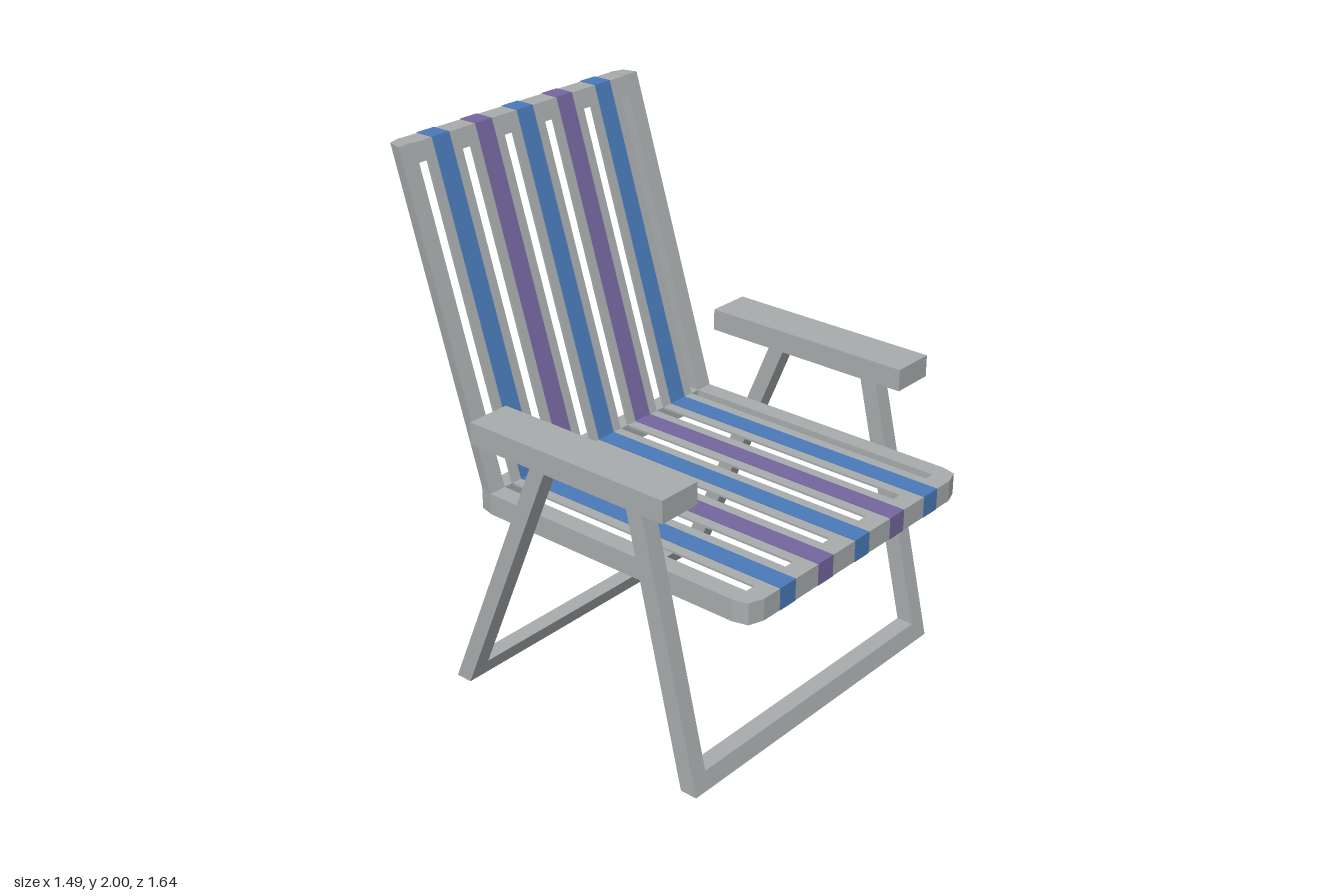
import * as THREE from 'three';

const grey = new THREE.MeshStandardMaterial({ name: 'greyPlastic', color: 0xa8acad });
const blue = new THREE.MeshStandardMaterial({ name: 'blueStripe', color: 0x4a7ab8 });
const purple = new THREE.MeshStandardMaterial({ name: 'purpleStripe', color: 0x75669f });

const SEAT_TOP = 0.788;
const BACK_LEAN = -0.31; // change in z per unit of height

// Slide every vertex along z in proportion to its height above y0
function lean(geo, slope, y0) {
  const p = geo.attributes.position;
  for (let i = 0; i < p.count; i++) p.setZ(i, p.getZ(i) + (p.getY(i) - y0) * slope);
  geo.computeVertexNormals();
  return geo;
}

// Box given by its limits
function box([x0, x1], [y0, y1], [z0, z1]) {
  return new THREE.BoxGeometry(x1 - x0, y1 - y0, z1 - z0)
    .translate((x0 + x1) / 2, (y0 + y1) / 2, (z0 + z1) / 2);
}

// Outline in plan (x, z), raised from y0 to y1
function plan(shape, y0, y1) {
  return new THREE.ExtrudeGeometry(shape, { depth: y1 - y0, bevelEnabled: false })
    .rotateX(Math.PI / 2).translate(0, y1, 0);
}

const outline = (pts) => new THREE.Shape(pts.map(([x, y]) => new THREE.Vector2(x, y)));
const mirrored = (half) => [...half, ...half.map(([x, y]) => [-x, y]).reverse()];

export function createModel() {
  const group = new THREE.Group();
  const add = (name, geo, mat = grey) => {
    const mesh = new THREE.Mesh(geo, mat);
    mesh.name = name;
    group.add(mesh);
  };
  const backPart = (geo) => lean(geo, BACK_LEAN, 0.79);

  // Seat frame with cut corners
  const seat = outline(mirrored([
    [0.54, -0.445], [0.597, -0.428], [0.612, -0.37],
    [0.612, 0.745], [0.597, 0.8], [0.54, 0.82],
  ]));
  seat.holes.push(new THREE.Path(mirrored([[0.54, -0.37], [0.54, 0.745]])
    .map(([x, y]) => new THREE.Vector2(x, y))));
  add('seatFrame', plan(seat, 0.705, SEAT_TOP));

  // Backrest side rails, with rear corners cut like the seat
  for (const s of [1, -1]) {
    const rail = outline([[0.54, -0.371], [0.612, -0.371], [0.597, -0.428], [0.54, -0.445]]
      .map(([x, z]) => [x * s, z]));
    add(s > 0 ? 'backRailLeft' : 'backRailRight', backPart(plan(rail, SEAT_TOP, 2)));
  }
  add('backTopRail', backPart(box([-0.54, 0.54], [1.93, 1.998], [-0.445, -0.371])));

  // Slats with a coloured stripe running over the rails
  for (let i = -2; i <= 2; i++) {
    const x = i * 0.208;
    const wide = [x - 0.083, x + 0.083];
    const narrow = [x - 0.041, x + 0.041];
    const color = i % 2 ? purple : blue;

    add('seatSlat', box(wide, [0.78, SEAT_TOP], [-0.371, 0.746]));
    add('seatStripe', box(narrow, [0.778, 0.79], [-0.37, 0.822]), color);
    add('seatFrontStripe', box(narrow, [0.705, 0.789], [0.816, 0.822]), color);

    add('backSlat', backPart(box(wide, [SEAT_TOP, 1.931], [-0.38, -0.371])));
    add('backStripe', backPart(box(narrow, [SEAT_TOP, 2], [-0.382, -0.369])), color);
    add('backTopStripe', backPart(box(narrow, [1.994, 2], [-0.446, -0.37])), color);
    add('backRearStripe', backPart(box(narrow, [1.93, 2], [-0.447, -0.441])), color);
  }

  // U-shaped leg frames leaning towards each other at the armrests
  const legShape = outline(mirrored([[0.69, 0], [0.69, 1.06], [0.622, 1.06], [0.622, 0.07]]));
  const legs = (name, z, slope) => add(name, lean(
    new THREE.ExtrudeGeometry(legShape, { depth: 0.068, bevelEnabled: false })
      .translate(0, 0, z - 0.034), slope, 0));
  legs('frontLegs', 0.626, -0.234);
  legs('rearLegs', -0.478, 0.417);

  // Armrests
  for (const s of [1, -1]) {
    add(s > 0 ? 'armrestLeft' : 'armrestRight',
      box([0.657 * s - 0.087, 0.657 * s + 0.087], [1.055, 1.14], [-0.315, 0.56]));
  }

  return group;
}
